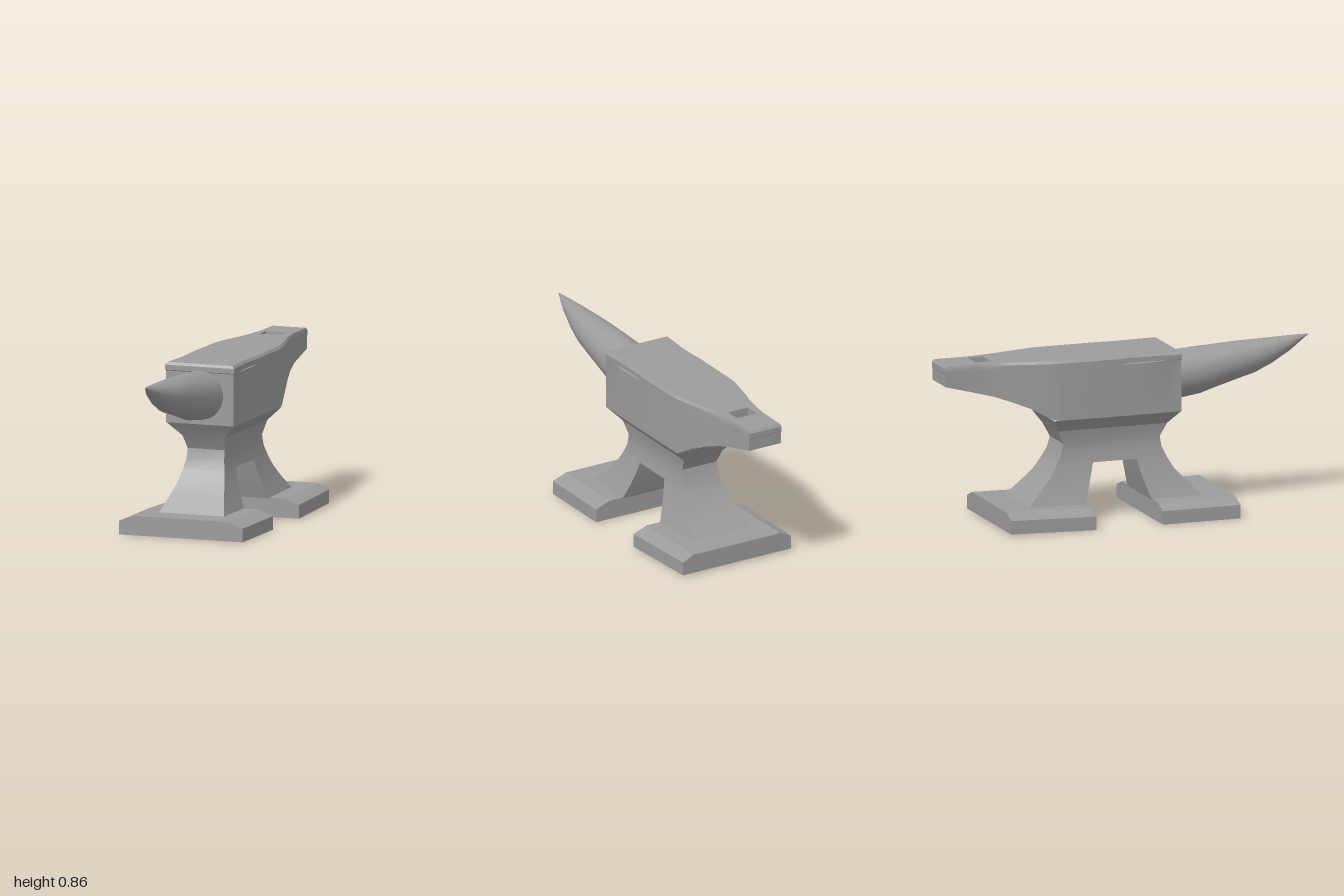
import * as THREE from 'three';
import { toCreasedNormals } from 'three/addons/utils/BufferGeometryUtils.js';

const material = new THREE.MeshStandardMaterial({ color: 0x9c9c9c });

// Adds one four-cornered face, corners counter-clockwise from outside
function quad(out, a, b, c, d) {
  for (const p of [a, b, c, a, c, d]) out.push(...p);
}

// Skins a stack of closed rings with side faces
function skin(out, rings) {
  for (let r = 0; r < rings.length - 1; r++) {
    const lo = rings[r], hi = rings[r + 1], n = lo.length;
    for (let i = 0; i < n; i++) {
      const j = (i + 1) % n;
      quad(out, lo[i], lo[j], hi[j], hi[i]);
    }
  }
}

function makeMesh(name, positions, crease = 0.5) {
  let g = new THREE.BufferGeometry();
  g.setAttribute('position', new THREE.Float32BufferAttribute(positions, 3));
  g = toCreasedNormals(g, crease);
  const mesh = new THREE.Mesh(g, material);
  mesh.name = name;
  return mesh;
}

// Rectangle ring at height y
const rect = (y, x, zFront, zBack) => [[x, y, zFront], [x, y, zBack], [-x, y, zBack], [-x, y, zFront]];

// Body with the tapering heel, lipped and chamfered face and square hole
function makeBody() {
  // z, half width, underside height, lip overhang, chamfer inset
  const stations = [
    [0.25, 0.184, 0.545, 0.003, 0.01], [0.18, 0.184, 0.545, 0.001, 0.01], [0.08, 0.184, 0.545, -0.006, 0.01],
    [-0.02, 0.184, 0.545, -0.005, 0.01], [-0.1, 0.184, 0.545, 0, 0.01], [-0.4, 0.182, 0.545, 0, 0.01],
    [-0.44, 0.177, 0.549, 0, 0.01], [-0.55, 0.153, 0.61, 0, 0.01], [-0.65, 0.127, 0.65, 0, 0.009],
    [-0.735, 0.109, 0.68, 0, 0.007], [-0.82, 0.096, 0.702, 0, 0.005], [-1, 0.095, 0.748, 0, 0.005],
  ];
  const last = stations.length - 1, holeRow = 9, holeX = 0.06;
  const point = (i, side, level) => {
    const [z, w, under, lip, inset] = stations[i];
    const y = [under, 0.812, 0.816, 0.842, 0.855][level];
    const dx = [0, 0, lip, lip, lip - inset][level];
    const end = [0.004, 0.004, 0, 0, 0.01][level];
    return [side * (w + dx), y, z + (i === 0 ? -end : i === last ? end : 0)];
  };
  const out = [];
  const rings = [0, 1, 2, 3, 4].map((level) => [
    ...stations.map((_, i) => point(i, 1, level)),
    ...stations.map((_, i) => point(last - i, -1, level)),
  ]);
  skin(out, rings);

  // Face and underside, left open at the hole
  const row = (i, level) => {
    const l = point(i, -1, level), r = point(i, 1, level);
    return [l, [-holeX, l[1], l[2]], [holeX, l[1], l[2]], r];
  };
  for (let i = 0; i < last; i++) {
    const t0 = row(i, 4), t1 = row(i + 1, 4), b0 = row(i, 0), b1 = row(i + 1, 0);
    for (let c = 0; c < 3; c++) {
      if (i === holeRow && c === 1) continue;
      quad(out, t0[c], t0[c + 1], t1[c + 1], t1[c]);
      quad(out, b1[c], b1[c + 1], b0[c + 1], b0[c]);
    }
  }
  // Hole walls face inward
  const holeRing = (level) => {
    const a = row(holeRow, level), b = row(holeRow + 1, level);
    return [a[1], b[1], b[2], a[2]];
  };
  skin(out, [holeRing(0), holeRing(4)]);
  return makeMesh('body', out);
}

// Horn: oval sections between an upper and a lower profile
function makeHorn() {
  // z, top, bottom, half width
  const sections = [
    [0.24, 0.821, 0.568, 0.127], [0.4, 0.832, 0.59, 0.115], [0.5, 0.837, 0.62, 0.106],
    [0.6, 0.842, 0.648, 0.096], [0.7, 0.845, 0.674, 0.083], [0.8, 0.848, 0.718, 0.062],
    [0.9, 0.851, 0.776, 0.037], [0.96, 0.852, 0.82, 0.016], [1, 0.852, 0.848, 0.002],
  ];
  const sides = 36;
  const rings = sections.map(([z, top, bottom, w]) => Array.from({ length: sides }, (_, i) => {
    const a = (i / sides) * Math.PI * 2;
    return [w * Math.cos(a), (top + bottom) / 2 + (top - bottom) / 2 * Math.sin(a), z];
  }));
  const out = [];
  skin(out, rings);
  return makeMesh('horn', out, 0.8);
}

// Waist narrowing below the body down to the top of the arch
function makeWaist() {
  const out = [];
  const rings = [
    rect(0.3, 0.113, 0.193, -0.402), rect(0.35, 0.103, 0.17, -0.375), rect(0.405, 0.1, 0.16, -0.36),
    rect(0.475, 0.115, 0.195, -0.395), rect(0.546, 0.183, 0.246, -0.44),
  ];
  skin(out, rings);
  const [a, b, c, d] = rect(0.3, 0.113, 0.03, -0.205);
  quad(out, d, c, b, a); // arch ceiling
  return makeMesh('waist', out);
}

// Flared leg; ring rows are y, half width, front z, back z
function makeLeg(name, rows) {
  const out = [];
  skin(out, rows.map((r) => rect(...r)));
  return makeMesh(name, out);
}

// Foot slab with chamfered sides; the rear one tapers and rises slightly
function makeFoot(name, zFront, zBack, narrow, rise) {
  const shape = new THREE.Shape([
    [-0.337, 0], [0.337, 0], [0.337, 0.07], [0.258, 0.1], [-0.258, 0.1], [-0.337, 0.07],
  ].map(([x, y]) => new THREE.Vector2(x, y)));
  const g = new THREE.ExtrudeGeometry(shape, { depth: zFront - zBack, bevelEnabled: false });
  const p = g.attributes.position;
  for (let i = 0; i < p.count; i++) {
    const t = 1 - p.getZ(i) / (zFront - zBack);
    const x = p.getX(i), outer = Math.abs(x) > 0.3 ? 1 : 0;
    p.setXYZ(i, x - Math.sign(x) * outer * narrow * t, p.getY(i) + rise * t, p.getZ(i) + zBack);
  }
  g.computeVertexNormals();
  const mesh = new THREE.Mesh(g, material);
  mesh.name = name;
  return mesh;
}

export function createModel() {
  const group = new THREE.Group();
  group.name = 'anvil';
  group.add(
    makeBody(),
    makeHorn(),
    makeWaist(),
    makeLeg('frontLeg', [
      [0.095, 0.18, 0.365, 0.09], [0.17, 0.15, 0.295, 0.065], [0.24, 0.128, 0.228, 0.045], [0.3, 0.113, 0.193, 0.03],
    ]),
    makeLeg('rearLeg', [
      [0.095, 0.18, -0.27, -0.585], [0.17, 0.15, -0.243, -0.507], [0.24, 0.128, -0.222, -0.44], [0.3, 0.113, -0.205, -0.402],
    ]),
    makeFoot('frontFoot', 0.51, 0.09, 0, 0),
    makeFoot('rearFoot', -0.27, -0.725, 0.015, 0.009),
  );
  return group;
}
